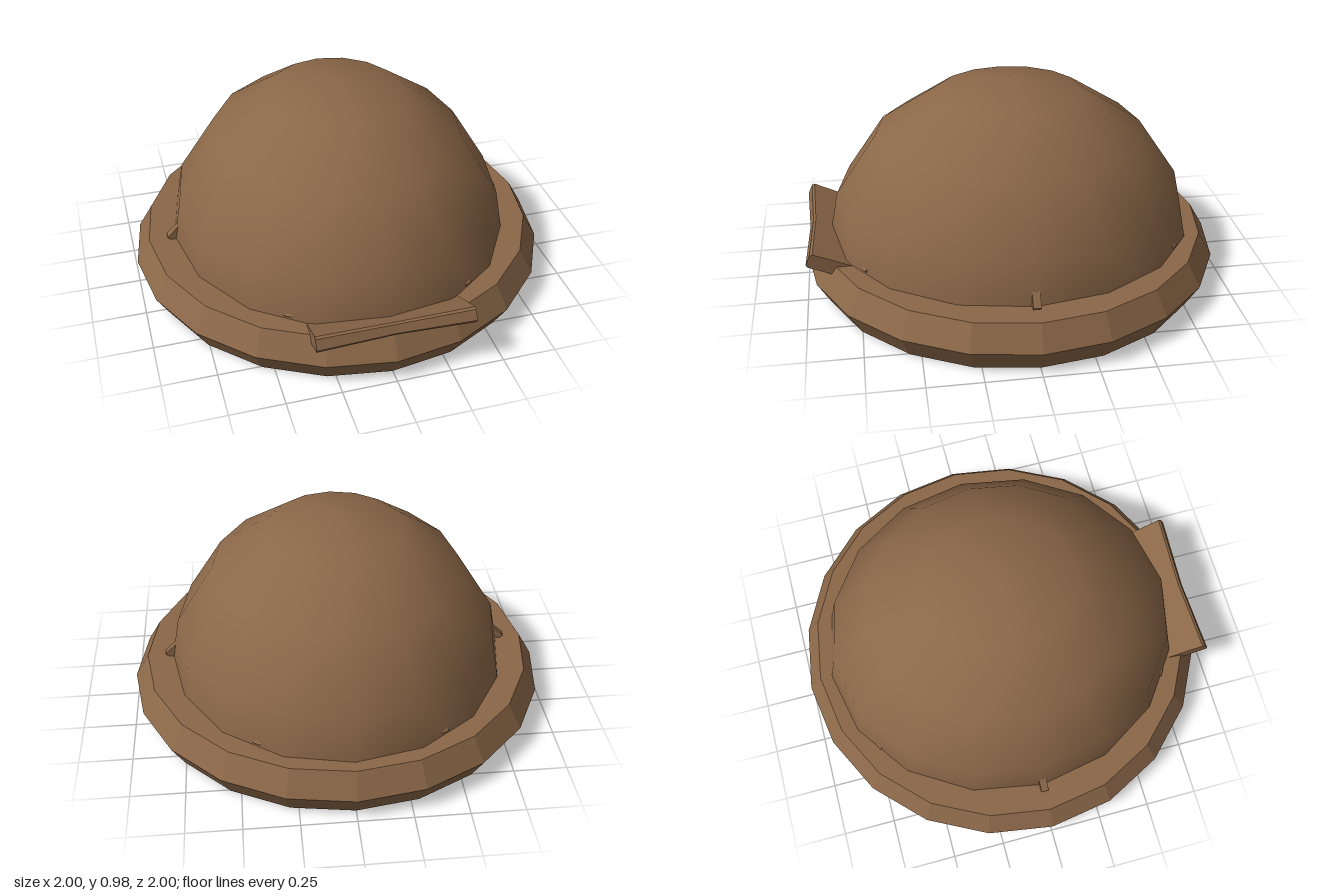
import * as THREE from 'three';

const brown = new THREE.MeshStandardMaterial({ color: 0x8b6748 });
brown.name = 'brown felt';

function part(name, geometry) {
  const mesh = new THREE.Mesh(geometry, brown);
  mesh.name = name;
  return mesh;
}

// Gives every face its own normal
function faceted(geometry) {
  const flat = geometry.index ? geometry.toNonIndexed() : geometry;
  flat.computeVertexNormals();
  return flat;
}

// Slab with chamfered front corners, pinched in the middle and tilted up
function createBow() {
  const half = 0.36, t = 0.035, c = 0.01, back = -0.24;
  const profile = new THREE.Shape([
    [back, -t], [-c, -t], [0, -t + c], [0, t - c], [-c, t], [back, t],
  ].map(([a, b]) => new THREE.Vector2(a, b)));
  const geo = new THREE.ExtrudeGeometry(profile, { depth: 2 * half, steps: 2, bevelEnabled: false });
  geo.translate(0, 0, -half).rotateY(-Math.PI / 2);
  const p = geo.attributes.position;
  for (let i = 0; i < p.count; i++) {
    const x = p.getX(i), z = p.getZ(i);
    const pinch = 1 - Math.abs(x) / half;
    p.setXYZ(i, x * (1 + 0.12 * z), p.getY(i) * (1 - 0.2 * pinch), z - 0.015 * pinch);
  }
  geo.rotateX(-0.42).translate(0, 0.28, 0.98);
  return part('frontBow', faceted(geo));
}

export function createModel() {
  const model = new THREE.Group();
  model.name = 'bowlerHat';

  // Crown: smooth half ellipsoid closed underneath
  const crown = new THREE.Group();
  crown.name = 'crown';
  const dome = new THREE.SphereGeometry(1, 16, 4, 0, Math.PI * 2, 0, Math.PI / 2);
  const base = new THREE.CircleGeometry(1, 16).rotateX(Math.PI / 2);
  crown.add(
    part('crownDome', dome.scale(0.835, 0.895, 0.905)),
    part('crownBase', base.scale(0.835, 1, 0.905)),
  );
  crown.position.y = 0.085;
  model.add(crown);

  // Brim: ring with a six-sided section
  const brim = new THREE.TorusGeometry(0.867, 0.133, 6, 20).rotateX(Math.PI / 2);
  model.add(part('brim', faceted(brim.translate(0, 0.115, 0))));

  // Small tabs around the foot of the crown
  for (let i = 0; i < 6; i++) {
    const tab = new THREE.BoxGeometry(0.078, 0.078, 0.036).rotateZ(Math.PI / 4);
    tab.translate(0.79, 0.245, 0).rotateY(i * Math.PI / 3);
    model.add(part('crownTab', tab));
  }

  model.add(createBow());
  return model;
}
